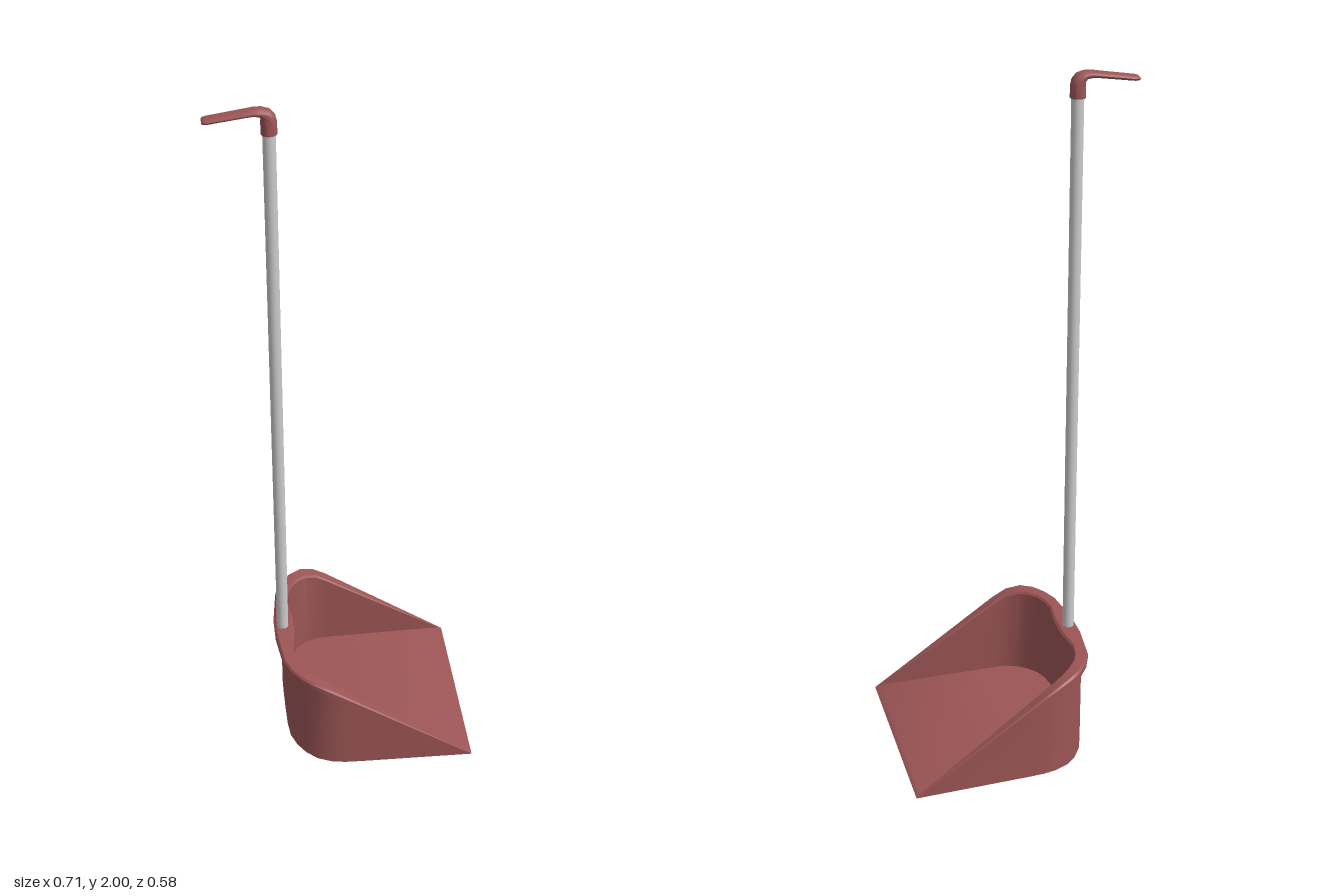
import * as THREE from 'three';
import { toCreasedNormals } from 'three/addons/utils/BufferGeometryUtils.js';

const red = new THREE.MeshStandardMaterial({ color: 0x9c5555 });
const grey = new THREE.MeshStandardMaterial({ color: 0xcccccc });

// Skin a list of rows of [x, y, z] points, leaving out collapsed triangles.
function loft(rows, crease = 0.6) {
  const pos = [];
  const tri = (...p) => {
    const [a, b, c] = p.map((q) => new THREE.Vector3(...q));
    if (b.clone().sub(a).cross(c.clone().sub(a)).length() > 1e-9) pos.push(...p.flat());
  };
  for (let i = 0; i < rows.length - 1; i++) {
    for (let j = 0; j < rows[i].length - 1; j++) {
      const a = rows[i][j], b = rows[i + 1][j], c = rows[i + 1][j + 1], d = rows[i][j + 1];
      tri(a, b, c);
      tri(a, c, d);
    }
  }
  const geo = new THREE.BufferGeometry();
  geo.setAttribute('position', new THREE.Float32BufferAttribute(pos, 3));
  return toCreasedNormals(geo, crease);
}

// Height of the pan's top edge: level at the back, then a straight slope to the lip.
function topHeight(x) {
  const slope = 0.705 * (0.355 - x), level = 0.317, k = 0.04;
  return Math.min(slope, level) - Math.max(k - Math.abs(slope - level), 0) ** 2 / (4 * k);
}
const floorHeight = (x) => 0.009 + 0.042 * (0.342 - x);
const mix = (p, q, t) => [p[0] + (q[0] - p[0]) * t, p[1] + (q[1] - p[1]) * t];

// Half plan from back centre to front corner: rim outside, wall, rim inside, as [x, z].
const plan = [
  [[-0.215, 0], [-0.19, 0], [-0.157, 0]],
  [[-0.215, 0.04], [-0.19, 0.04], [-0.157, 0.04]],
  [[-0.207, 0.105], [-0.189, 0.095], [-0.167, 0.112]],
  [[-0.2, 0.16], [-0.184, 0.148], [-0.16, 0.15]],
  [[-0.18, 0.205], [-0.167, 0.192], [-0.147, 0.184]],
  [[-0.153, 0.242], [-0.142, 0.229], [-0.122, 0.214]],
  [[-0.118, 0.27], [-0.11, 0.257], [-0.095, 0.235]],
  [[-0.075, 0.286], [-0.07, 0.274], [-0.062, 0.25]],
  [[-0.03, 0.29], [-0.03, 0.281], [-0.03, 0.253]],
  [[0.02, 0.29], [0.02, 0.283], [0.02, 0.257]],
  [[0.355, 0.29], [0.355, 0.29], [0.342, 0.284]],
];
const foot = ([, wall, inner]) => mix(inner, wall, inner[0] > 0.3 ? 0 : 0.25);

function makePan() {
  const pan = new THREE.Group();
  pan.name = 'pan';

  // Wall and rim: one cross-section per plan station, from outer foot to inner foot.
  const section = (station, side) => {
    const [rim, wall, inner] = station;
    const taper = Math.min(1, topHeight(rim[0]) / 0.3);
    const at = ([x, z], drop) => [x, topHeight(x) - drop * taper, z * side];
    const f = foot(station);
    return [
      [wall[0], 0, wall[1] * side],
      at(wall, 0.022),
      at(rim, 0.022),
      at(rim, 0.006),
      at(mix(rim, inner, 0.12), 0),
      at(mix(rim, inner, 0.88), 0),
      at(inner, 0.006),
      [f[0], Math.min(floorHeight(f[0]), topHeight(f[0])), f[1] * side],
    ];
  };
  const rows = [
    ...plan.slice(1).reverse().map((s) => section(s, -1)),
    ...plan.map((s) => section(s, 1)),
  ];
  const wall = new THREE.Mesh(loft(rows), red);
  wall.name = 'wallAndRim';

  // Floor rises gently to the back and ends in a bevelled lip.
  const floorRows = plan.map((s) => {
    const [x, z] = foot(s);
    return [[x, floorHeight(x), z], [x, floorHeight(x), -z]];
  });
  floorRows.push([[0.355, 0, 0.29], [0.355, 0, -0.29]]);
  const floor = new THREE.Mesh(loft(floorRows), red);
  floor.name = 'floorAndLip';

  const baseRows = plan.map(([, [x, z]]) => [[x, 0, -z], [x, 0, z]]);
  const base = new THREE.Mesh(loft(baseRows), red);
  base.name = 'underside';

  pan.add(wall, floor, base);
  return pan;
}

// Grip: a round sleeve bending into a flat, slightly drooping handle.
function makeGrip() {
  // x, y, direction in degrees, half thickness, half width
  const stations = [
    [-0.19, 1.93, 90, 0, 0],
    [-0.19, 1.93, 90, 0.021, 0.022],
    [-0.19, 1.962, 90, 0.021, 0.022],
    [-0.192, 1.974, 110, 0.02, 0.022],
    [-0.198, 1.983, 135, 0.017, 0.022],
    [-0.21, 1.989, 165, 0.012, 0.022],
    [-0.228, 1.99, 184, 0.01, 0.022],
    [-0.25, 1.987, 189, 0.009, 0.022],
    [-0.345, 1.973, 189, 0.008, 0.022],
    [-0.353, 1.972, 189, 0.007, 0.02],
    [-0.357, 1.971, 189, 0.005, 0.015],
    [-0.357, 1.971, 189, 0, 0],
  ];
  const sides = 20;
  const rows = stations.map(([x, y, deg, a, w]) => {
    const t = THREE.MathUtils.degToRad(deg);
    return Array.from({ length: sides + 1 }, (_, i) => {
      const q = ((i % sides) / sides) * Math.PI * 2;
      const off = a * Math.cos(q);
      return [x + Math.sin(t) * off, y - Math.cos(t) * off, w * Math.sin(q)];
    });
  });
  const grip = new THREE.Mesh(loft(rows, 0.8), red);
  grip.name = 'grip';
  return grip;
}

export function createModel() {
  const model = new THREE.Group();
  model.name = 'longHandledDustpan';

  const pole = new THREE.Mesh(new THREE.CylinderGeometry(0.017, 0.017, 1.64, 24), grey);
  pole.position.set(-0.19, 1.125, 0);
  pole.name = 'pole';

  model.add(makePan(), pole, makeGrip());
  return model;
}
